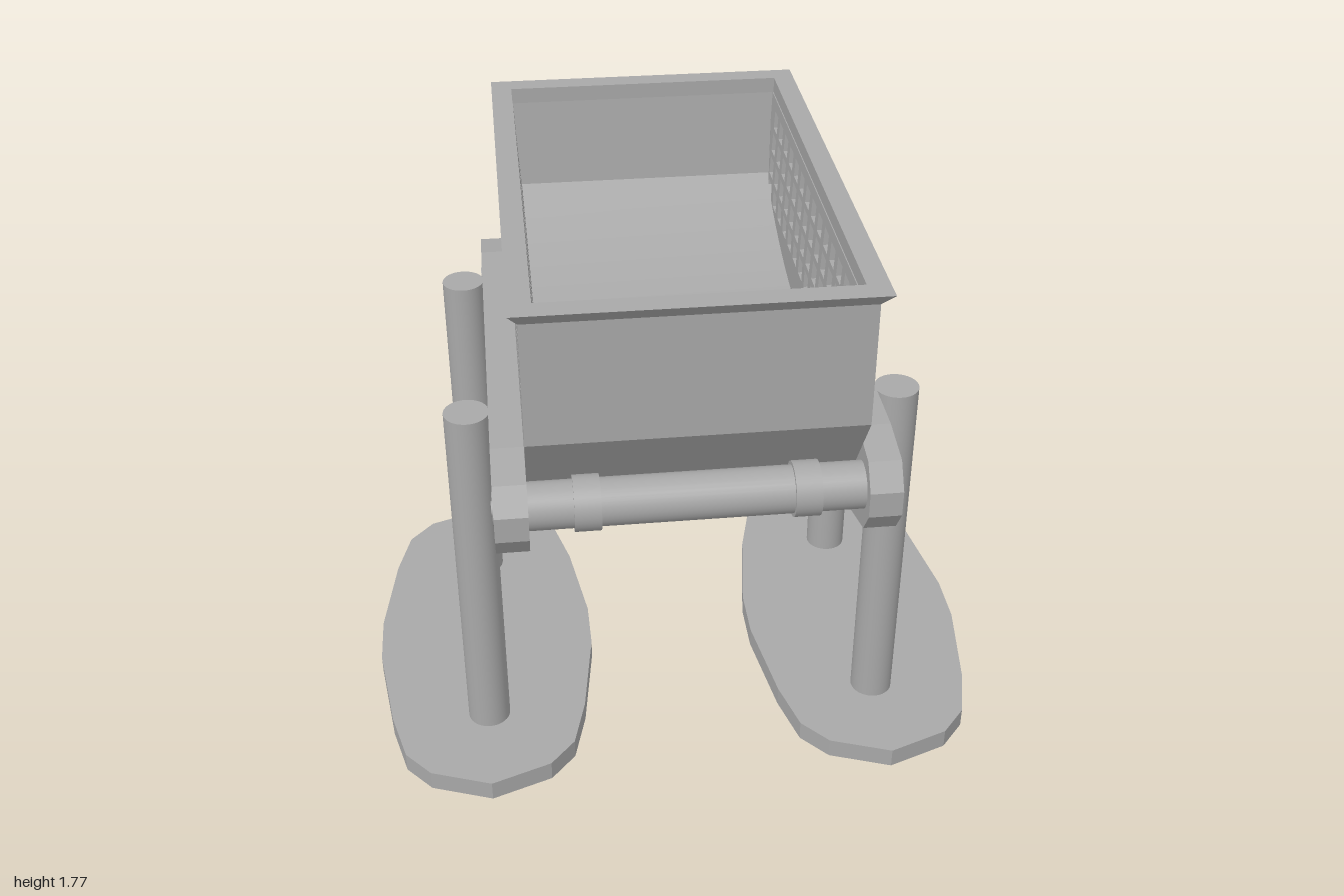
import * as THREE from 'three';
import { toCreasedNormals } from 'three/addons/utils/BufferGeometryUtils.js';

const W = 0.478; // outer half width of the hopper
const grey = new THREE.MeshStandardMaterial({ color: 0xa8a8a8 });
grey.name = 'grey';

function part(name, geometry, x = 0, y = 0, z = 0) {
  const mesh = new THREE.Mesh(geometry, grey);
  mesh.name = name;
  mesh.position.set(x, y, z);
  return mesh;
}

const shapeOf = (points) => new THREE.Shape(points.map(([u, v]) => new THREE.Vector2(u, v)));

// Adds the mirrored half of a right-hand outline
const mirrored = (half) => [...half, ...half.filter(([u]) => u !== 0).reverse().map(([u, v]) => [-u, v])];

// Extrudes a (z, y) profile from x0 to x1
function sideExtrude(shape, x0, x1) {
  return new THREE.ExtrudeGeometry(shape, { depth: x1 - x0, bevelEnabled: false })
    .rotateY(Math.PI / 2).translate(x0, 0, 0);
}

function rectHole(cx, cy, w, h) {
  const a = w / 2, b = h / 2;
  return new THREE.Path([[-a, -b], [-a, b], [a, b], [a, -b]]
    .map(([u, v]) => new THREE.Vector2(cx + u, cy + v)));
}

function barrel(r, length) {
  return new THREE.CylinderGeometry(r, r, length, 32).rotateZ(Math.PI / 2);
}

// Perforated side wall, its inner face leaning inwards towards the floor
function perforatedWall() {
  const shape = shapeOf(mirrored([[0.59, 1.1], [0.75, 1.34], [0.75, 1.72]]));
  for (let row = 0; row < 4; row++) {
    for (let col = 0; col < 14; col++) {
      shape.holes.push(rectHole((col - 6.5) * 0.0963, 1.653 - row * 0.081, 0.059, 0.06));
    }
  }
  const geo = sideExtrude(shape, 0.44, W);
  const p = geo.attributes.position;
  for (let i = 0; i < p.count; i++) {
    if (p.getX(i) < 0.45) p.setX(i, 0.44 - 0.02 * Math.min(1, (1.77 - p.getY(i)) / 0.35));
  }
  geo.computeVertexNormals();
  return geo;
}

// End walls and dished floor as one U-shaped section
function hopperCore() {
  const points = [[-0.73, 1.72], [-0.75, 1.72], [-0.75, 1.34], [-0.59, 1.1],
    [0.59, 1.1], [0.75, 1.34], [0.75, 1.72], [0.73, 1.72]];
  const R = 1.41, cy = 1.44 + Math.sqrt(R * R - 0.49);
  for (let i = 0; i <= 20; i++) {
    const z = 0.7 - 0.07 * i;
    points.push([z, cy - Math.sqrt(R * R - z * z)]);
  }
  return toCreasedNormals(sideExtrude(shapeOf(points), -0.44, 0.44), 0.25);
}

// Flared rim: a frame whose upper outer edge is pushed outwards
function flaredRim() {
  const shape = shapeOf([[-W, -0.75], [W, -0.75], [W, 0.75], [-W, 0.75]]);
  shape.holes.push(rectHole(0, 0, 0.88, 1.46));
  const geo = new THREE.ExtrudeGeometry(shape, { depth: 0.05, bevelEnabled: false })
    .rotateX(-Math.PI / 2).translate(0, 1.72, 0);
  const p = geo.attributes.position;
  for (let i = 0; i < p.count; i++) {
    if (p.getY(i) > 1.74 && Math.abs(p.getX(i)) > 0.46) {
      p.setX(i, Math.sign(p.getX(i)) * 0.505);
      p.setZ(i, Math.sign(p.getZ(i)) * 0.8);
    }
  }
  geo.computeVertexNormals();
  return geo;
}

// Everything on one side: wall, bearing plate, legs and foot
function sideAssembly() {
  const g = new THREE.Group();
  g.add(part('perforatedWall', perforatedWall()));

  const plate = mirrored([[0, 0.757], [0.47, 0.898], [0.75, 0.985], [0.802, 1.06],
    [0.802, 1.14], [0.75, 1.215], [0.6, 1.24]]);
  g.add(part('bearingPlate', sideExtrude(shapeOf(plate), W, 0.574)));

  const foot = mirrored([[0, -0.728], [0.19, -0.66], [0.27, -0.57], [0.315, -0.4], [0.36, -0.09],
    [0.36, 0.09], [0.315, 0.4], [0.27, 0.57], [0.19, 0.66], [0, 0.728]]);
  const footGeo = new THREE.ExtrudeGeometry(shapeOf(foot), { depth: 0.065, bevelEnabled: false })
    .rotateX(-Math.PI / 2);
  g.add(part('footPlate', footGeo, 0.639));

  for (const s of [-1, 1]) {
    g.add(part('leg', new THREE.CylinderGeometry(0.067, 0.067, 1.19, 32), 0.638, 0.645, s * 0.402));
    g.add(part('bearingCap', barrel(0.047, 0.008), 0.573, 1.105, s * 0.7));
    g.add(part('axleEnd', barrel(0.022, 0.008), 0.576, 1.105, s * 0.7));
  }
  return g;
}

export function createModel() {
  const model = new THREE.Group();
  model.name = 'hopperStand';
  model.add(part('hopperCore', hopperCore()), part('hopperRim', flaredRim()));

  // Two matching sides
  for (const [name, turn] of [['leftSide', 0], ['rightSide', Math.PI]]) {
    const side = sideAssembly();
    side.name = name;
    side.rotation.y = turn;
    model.add(side);
  }

  // Front and back rollers with collars
  for (const s of [-1, 1]) {
    const roller = new THREE.Group();
    roller.name = s > 0 ? 'frontRoller' : 'backRoller';
    roller.position.set(0, 1.105, s * 0.7);
    roller.add(part('rollerTube', barrel(0.07, 2 * W)));
    for (const x of [-0.312, 0.312]) roller.add(part('collar', barrel(0.081, 0.076), x));
    model.add(roller);
  }
  return model;
}
